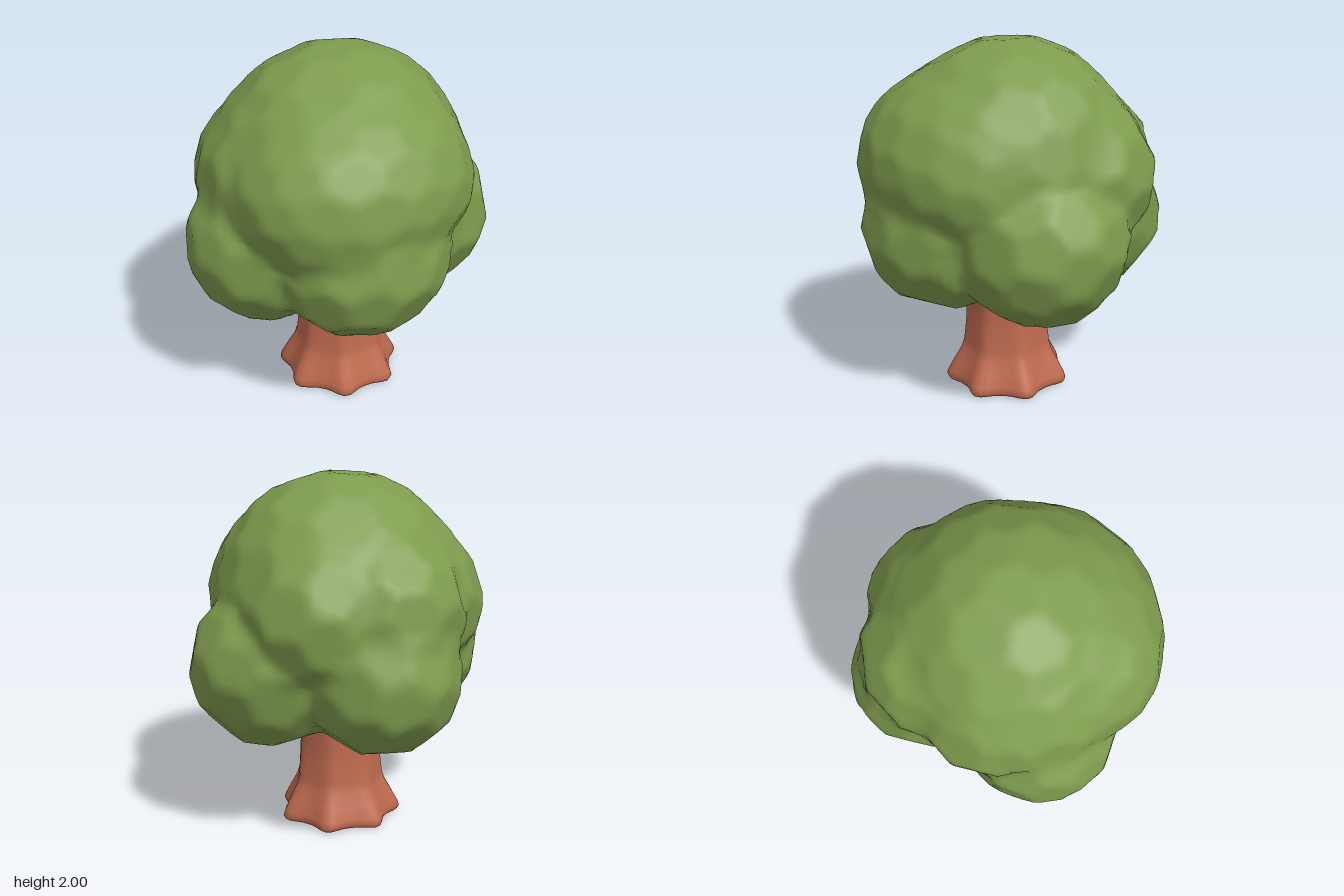
import * as THREE from 'three';
import { mergeVertices } from 'three/addons/utils/BufferGeometryUtils.js';

// small seeded generator for the uneven leaf surface
function seeded(seed) {
  let s = seed * 7919 + 17;
  return () => {
    s = (s * 16807) % 2147483647;
    return s / 2147483647;
  };
}

// weld the vertices so that the normals run smoothly over the surface
function weld(geometry) {
  geometry.deleteAttribute('uv');
  geometry.deleteAttribute('normal');
  return mergeVertices(geometry, 1e-4);
}

// unit directions spread evenly over a sphere, turned by an angle
function directions(detail, turn) {
  const p = weld(new THREE.IcosahedronGeometry(1, detail)).attributes.position;
  const tilt = new THREE.Euler(turn, turn * 2, 0.3);
  return Array.from({ length: p.count }, (_, i) => new THREE.Vector3().fromBufferAttribute(p, i).applyEuler(tilt));
}

// clumps of leaves: centre, radii, facet detail
const clumps = [
  [[0, 1.3, 0.03], [0.7, 0.7, 0.69], 2],        // crown top
  [[-0.06, 1.33, 0.26], [0.68, 0.53, 0.58], 2], // crown front
  [[-0.29, 1.3, 0.02], [0.48, 0.48, 0.5], 1],   // crown right
  [[-0.27, 1.28, -0.16], [0.45, 0.45, 0.45], 1], // crown back right
  [[0.28, 1.28, -0.19], [0.45, 0.45, 0.45], 1], // crown back left
  [[0.02, 1.3, -0.35], [0.44, 0.43, 0.44], 1],  // crown back
  [[-0.08, 0.98, 0.4], [0.49, 0.44, 0.45], 1],  // lower front
  [[0.42, 0.98, 0.09], [0.46, 0.44, 0.46], 1],  // lower left
  [[-0.44, 0.97, 0.02], [0.44, 0.43, 0.43], 1], // lower right
  [[0.08, 0.98, -0.4], [0.43, 0.44, 0.45], 1],  // lower back
];

// distance along a ray to the far side of a faceted clump, 0 if it misses
function farSide(clump, ray) {
  const d = ray.clone().divide(clump.radii);
  let enter = 0, exit = Infinity;
  for (const { normal, offset } of clump.facets) {
    const slope = normal.dot(d);
    const t = (offset - normal.dot(clump.start)) / slope;
    if (slope > 1e-6) exit = Math.min(exit, t);
    else if (slope < -1e-6) enter = Math.max(enter, t);
  }
  return enter < exit ? exit : 0;
}

// all clumps blended into one leafy surface around a common middle
function foliageGeometry() {
  const middle = new THREE.Vector3(0, 1.15, 0.03);
  const solids = clumps.map(([centre, size, detail], i) => {
    const random = seeded(i + 1);
    const radii = new THREE.Vector3(...size);
    return {
      radii,
      start: middle.clone().sub(new THREE.Vector3(...centre)).divide(radii),
      facets: directions(detail, i).map((normal) => ({
        normal,
        offset: (detail === 1 ? 0.965 : 0.98) + 0.025 * random(),
      })),
    };
  });
  const geometry = weld(new THREE.IcosahedronGeometry(1, 21));
  const p = geometry.attributes.position;
  const ray = new THREE.Vector3();
  const blend = 0.05;
  for (let i = 0; i < p.count; i++) {
    ray.fromBufferAttribute(p, i).normalize();
    let reach = 0;
    for (const solid of solids) {
      const r = farSide(solid, ray);
      const h = Math.max(0, blend - Math.abs(r - reach)) / blend;
      reach = Math.max(r, reach) + h * h * blend * 0.25;
    }
    ray.multiplyScalar(reach).add(middle);
    p.setXYZ(i, ray.x, ray.y, ray.z);
  }
  geometry.computeVertexNormals();
  return geometry;
}

// trunk flaring into seven root ridges
function trunkGeometry() {
  const profile = [
    [0, 0], [0.29, 0], [0.31, 0.008], [0.322, 0.03], [0.315, 0.06], [0.285, 0.13],
    [0.252, 0.2], [0.24, 0.25], [0.23, 0.38], [0.226, 0.48], [0.234, 0.6], [0.25, 0.75], [0.26, 0.9],
  ].map(([r, y]) => new THREE.Vector2(r, y));
  const geometry = weld(new THREE.LatheGeometry(profile, 56));
  const p = geometry.attributes.position;
  for (let i = 0; i < p.count; i++) {
    const x = p.getX(i), y = p.getY(i), z = p.getZ(i);
    const turn = 7 * (Math.atan2(z, x) - 1.09);
    const depth = 0.025 + 0.07 * Math.max(0, 1 - y / 0.3);
    const k = 1 + depth * (Math.cos(turn) + 0.2 * Math.cos(2 * turn));
    p.setXYZ(i, x * k, y, z * k);
  }
  geometry.computeVertexNormals();
  return geometry;
}

export function createModel() {
  const leaf = new THREE.MeshStandardMaterial({ color: 0x7f9c4e });
  leaf.name = 'leaf green';
  const bark = new THREE.MeshStandardMaterial({ color: 0xc06b4f });
  bark.name = 'bark brown';

  const tree = new THREE.Group();
  tree.name = 'tree';

  const trunk = new THREE.Mesh(trunkGeometry(), bark);
  trunk.name = 'trunk';
  trunk.position.z = 0.05;
  tree.add(trunk);

  const foliage = new THREE.Mesh(foliageGeometry(), leaf);
  foliage.name = 'foliage';
  tree.add(foliage);

  return tree;
}
